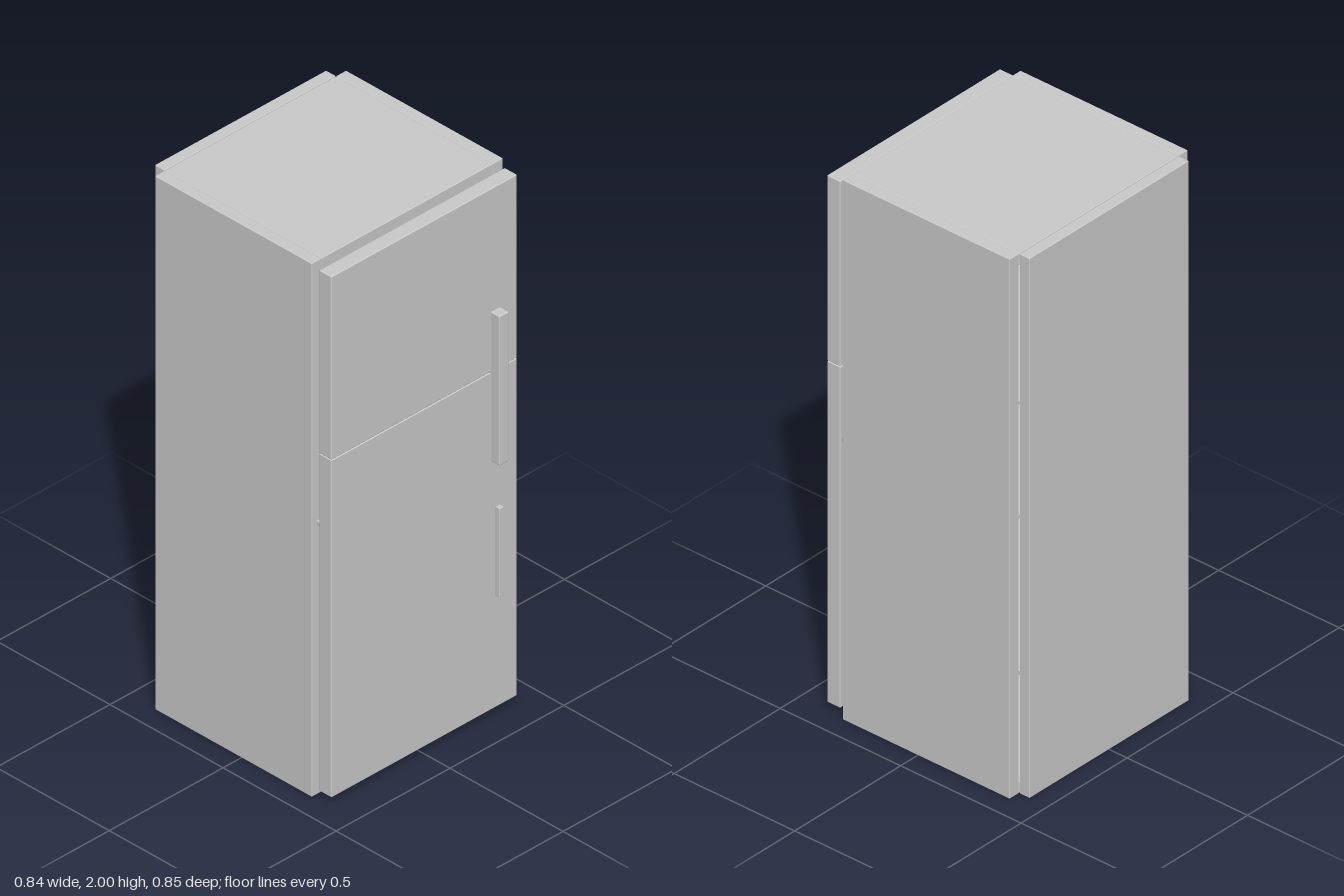
import * as THREE from 'three';
import { RoundedBoxGeometry } from 'three/addons/geometries/RoundedBoxGeometry.js';

export function createModel() {
  const group = new THREE.Group();
  const material = new THREE.MeshStandardMaterial({ color: 0xcccccc });

  // Slightly rounded slab given by its [min, max] extents on each axis
  function slab(name, [x0, x1], [y0, y1], [z0, z1], radius = 0.003) {
    const geometry = new RoundedBoxGeometry(x1 - x0, y1 - y0, z1 - z0, 2, radius);
    const mesh = new THREE.Mesh(geometry, material);
    mesh.name = name;
    mesh.position.set((x0 + x1) / 2, (y0 + y1) / 2, (z0 + z1) / 2);
    group.add(mesh);
  }

  const inner = [-0.376, 0.376];
  const depth = [-0.382, 0.312];

  // Hollow cabinet
  slab('leftSidePanel', [0.376, 0.42], [0, 2], depth);
  slab('rightSidePanel', [-0.42, -0.376], [0, 2], depth);
  slab('topPanel', inner, [1.956, 2], depth);
  slab('bottomPanel', inner, [0, 0.044], depth);
  slab('backPanel', inner, [0, 2], [-0.426, -0.384]);

  // Divider reaching out to the doors, and inner shelves
  slab('divider', [-0.398, 0.398], [1.01, 1.026], [-0.375, 0.332]);
  for (const y of [0.44, 1.44]) slab('shelf', inner, [y - 0.008, y + 0.008], [-0.375, 0.29]);

  // Lower and upper doors
  const doorWidth = [-0.408, 0.408];
  const doorDepth = [0.332, 0.387];
  slab('lowerDoor', doorWidth, [0.027, 1.292], doorDepth, 0.004);
  slab('upperDoor', doorWidth, [1.293, 1.98], doorDepth, 0.004);

  // Handles
  slab('upperHandle', [0.291, 0.333], [0.96, 1.52], [0.385, 0.426], 0.004);
  slab('lowerHandle', [0.302, 0.322], [0.455, 0.79], [0.396, 0.415]);

  return group;
}
